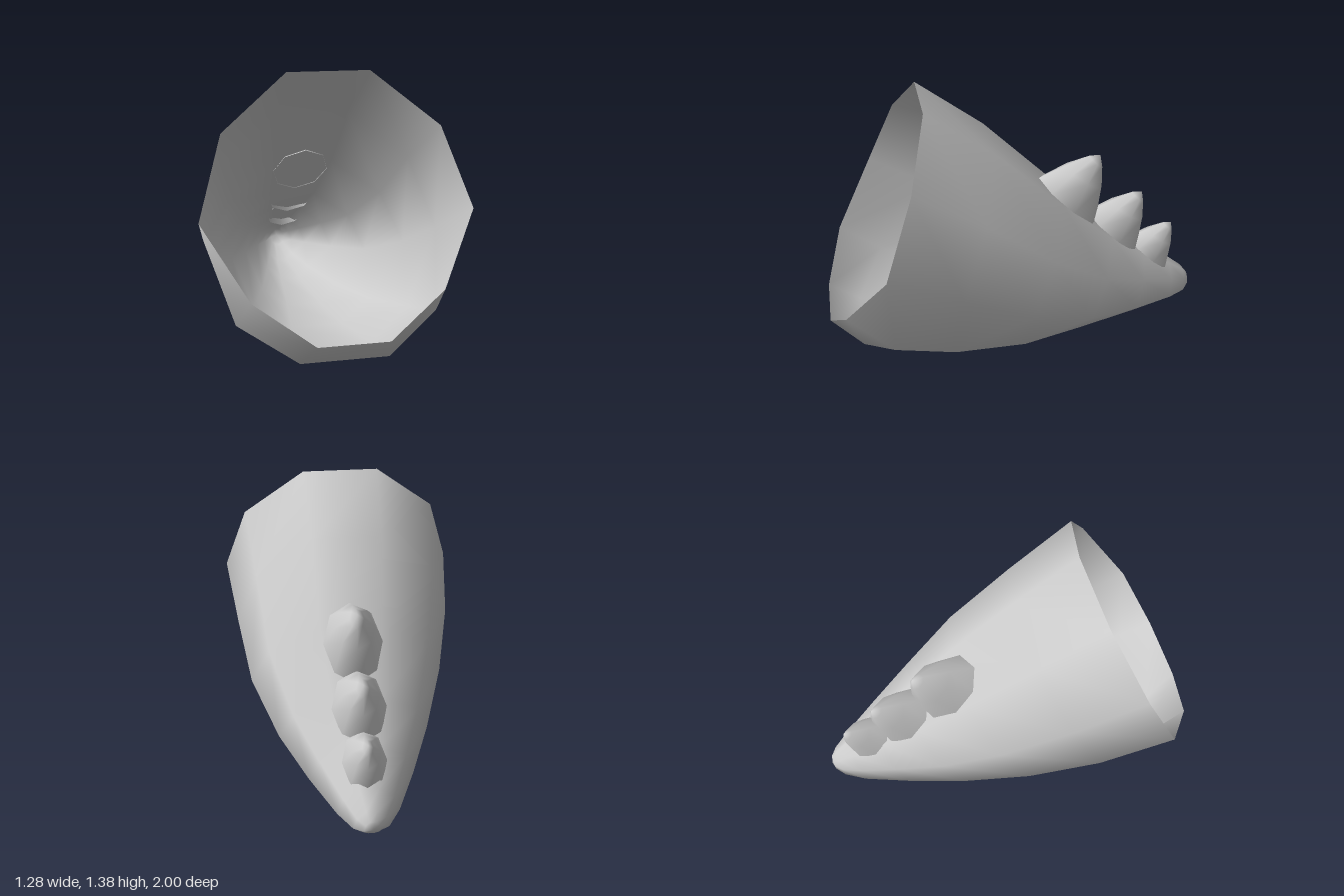
import * as THREE from 'three';

const material = new THREE.MeshStandardMaterial({ color: 0xcccccc, side: THREE.DoubleSide });

// Smooth skin over rings of equal point count, closed at the end by one apex point
function loft(rings, apex) {
  const n = rings[0].length;
  const index = [];
  const last = (rings.length - 1) * n;
  for (let j = 0; j < n; j++) {
    const k = (j + 1) % n;
    for (let i = 0; i < last; i += n) {
      index.push(i + j, i + n + j, i + k, i + k, i + n + j, i + n + k);
    }
    index.push(last + j, last + n, last + k);
  }
  const geometry = new THREE.BufferGeometry();
  geometry.setAttribute('position', new THREE.Float32BufferAttribute([...rings.flat(2), ...apex], 3));
  geometry.setIndex(index);
  geometry.computeVertexNormals();
  return geometry;
}

const lerp = THREE.MathUtils.lerp;

// Ten-sided slanted ring: top, middle and bottom z, top and bottom y, half width, x shift
function shellRing([zTop, zMid, zBottom, yTop, yBottom, w, shift], isRim) {
  const y = (t) => lerp(yTop, yBottom, t);
  const half = [
    [isRim ? 0.26 : 0.36, y(1), zBottom],
    [isRim ? 0.69 : 0.82, y(isRim ? 0.83 : 0.855), lerp(zMid, zBottom, 0.7)],
    [1, y(0.552), zMid],
    [0.81, y(0.225), lerp(zTop, zMid, 0.41)],
    [0.31, y(0), zTop],
  ];
  const right = half.map(([k, py, pz]) => [shift + k * w, py, pz]);
  const left = half.map(([k, py, pz]) => [shift - k * w, py, pz]).reverse();
  return [...right, ...left];
}

// Eight-sided spike ring between its front and back points, each [z, y]
function spikeRing([front, back, w]) {
  return Array.from({ length: 8 }, (_, i) => {
    const a = (i / 8) * Math.PI * 2;
    const t = (1 - Math.sin(a)) / 2;
    return [w * Math.cos(a), lerp(front[1], back[1], t), lerp(front[0], back[0], t)];
  });
}

export function createModel() {
  const model = new THREE.Group();

  // Hollow tapering shell, open at the front
  const sections = [
    [0.47, 0.715, 1.0, 1.39, 0.258, 0.64, 0],
    [0.13, 0.35, 0.84, 1.14, 0.115, 0.587, 0],
    [-0.22, 0.0, 0.55, 0.81, 0.06, 0.51, 0.02],
    [-0.5, -0.33, 0.15, 0.56, 0.005, 0.385, 0.02],
    [-0.7, -0.62, -0.17, 0.42, 0.005, 0.26, 0.015],
    [-0.87, -0.85, -0.55, 0.305, 0.028, 0.15, 0.01],
    [-0.96, -0.95, -0.81, 0.24, 0.06, 0.085, 0.01],
    [-0.99, -0.99, -0.96, 0.205, 0.115, 0.04, 0.01],
  ];
  const shell = new THREE.Mesh(
    loft(sections.map((s, i) => shellRing(s, i === 0)), [0.01, 0.165, -1]), material);
  shell.name = 'shell';
  model.add(shell);

  // Row of shrinking spikes along the ridge, modelled around their tip
  const spikeGeometry = loft([
    [[0.33, -0.105], [0.01, -0.39], 0.15],
    [[0.19, -0.045], [-0.015, -0.18], 0.098],
    [[0.06, 0.0], [-0.013, -0.07], 0.035],
  ].map(spikeRing), [0, 0, 0]);
  const spikes = new THREE.Group();
  spikes.name = 'spikes';
  [[1.0, -0.45, 1], [0.76, -0.69, 0.9], [0.55, -0.87, 0.72]].forEach(([y, z, scale], i) => {
    const spike = new THREE.Mesh(spikeGeometry, material);
    spike.name = `spike${i + 1}`;
    spike.position.set(0.018, y, z);
    spike.scale.setScalar(scale);
    spikes.add(spike);
  });
  model.add(spikes);

  return model;
}
